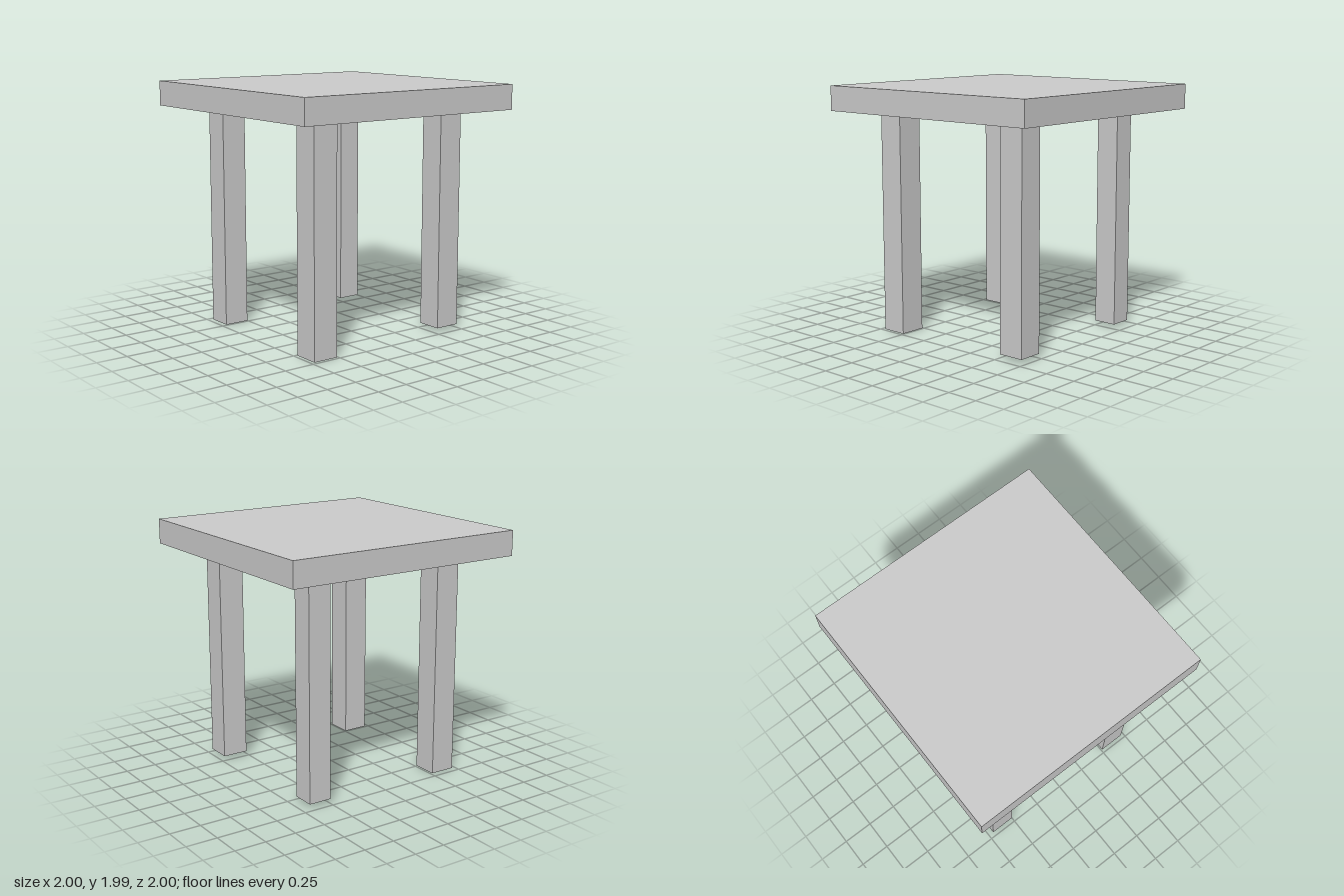
import * as THREE from 'three';

const material = new THREE.MeshStandardMaterial({ color: 0xcccccc, flatShading: true });

// Box given by its extents along each axis
function block(name, [x0, x1], [y0, y1], [z0, z1]) {
  const mesh = new THREE.Mesh(new THREE.BoxGeometry(x1 - x0, y1 - y0, z1 - z0), material);
  mesh.position.set((x0 + x1) / 2, (y0 + y1) / 2, (z0 + z1) / 2);
  mesh.name = name;
  return mesh;
}

export function createModel() {
  const table = new THREE.Group();
  table.name = 'table';

  const underside = 1.79;
  table.add(block('tableTop', [-1, 1], [underside, 1.99], [-1, 1]));

  // Legs are slightly uneven: x extent, foot height, z extent
  const legs = [
    ['frontLeftLeg', [0.51, 0.725], 0, [0.51, 0.72]],
    ['frontRightLeg', [-0.705, -0.5], 0.005, [0.51, 0.715]],
    ['backLeftLeg', [0.505, 0.71], 0.037, [-0.73, -0.52]],
    ['backRightLeg', [-0.705, -0.52], 0.032, [-0.68, -0.49]],
  ];
  for (const [name, x, foot, z] of legs) table.add(block(name, x, [foot, underside], z));

  return table;
}
